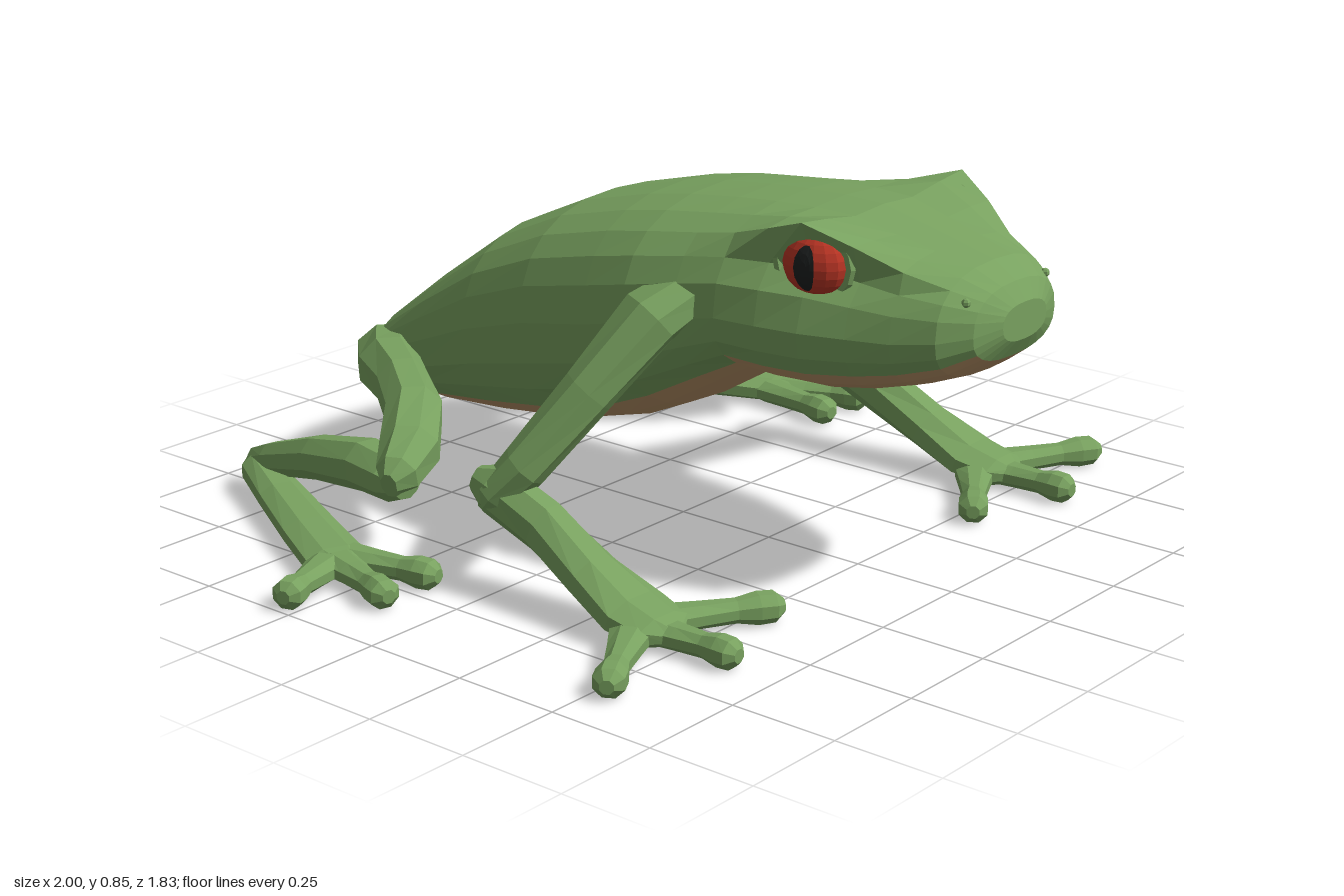
import * as THREE from 'three';

const paint = (name, color) => {
  const m = new THREE.MeshStandardMaterial({ color, flatShading: true });
  m.name = name;
  return m;
};

// Skins closed rings of points, columns from..to, with fan caps at both ends
function skin(rings, from = 0, to = rings[0].length) {
  const n = rings[0].length, pos = [], idx = [], last = rings.length - 1;
  rings.forEach(r => r.forEach(p => pos.push(p.x, p.y, p.z)));
  const centre = r => {
    const c = r.reduce((s, p) => s.add(p), new THREE.Vector3()).divideScalar(n);
    pos.push(c.x, c.y, c.z);
    return pos.length / 3 - 1;
  };
  const c0 = centre(rings[0]), c1 = centre(rings[last]);
  for (let k = from; k < to; k++) {
    const i = k % n, j = (k + 1) % n;
    for (let r = 0; r < last; r++) {
      const a = r * n, b = a + n;
      idx.push(a + i, a + j, b + i, a + j, b + j, b + i);
    }
    idx.push(c0, j, i, c1, last * n + i, last * n + j);
  }
  const g = new THREE.BufferGeometry();
  g.setAttribute('position', new THREE.Float32BufferAttribute(pos, 3));
  g.setIndex(idx);
  g.computeVertexNormals();
  return g;
}

// Limb through points [x, y, z, half width, half height]
function limb(points, sides = 8) {
  const c = points.map(p => new THREE.Vector3(p[0], p[1], p[2]));
  const up = new THREE.Vector3(0, 1, 0);
  return skin(points.map((p, i) => {
    const t = c[Math.min(i + 1, c.length - 1)].clone().sub(c[Math.max(i - 1, 0)]).normalize();
    const side = up.clone().cross(t).normalize(), top = t.clone().cross(side);
    return Array.from({ length: sides }, (_, k) => {
      const a = (k + 0.5) / sides * Math.PI * 2;
      return c[i].clone().addScaledVector(side, Math.cos(a) * p[3]).addScaledVector(top, Math.sin(a) * p[4]);
    });
  }));
}

// Toe with a webbed root and a rounded pad at the tip
function toe(x0, z0, x1, z1) {
  const steps = [[0, .05, .03], [.3, .038, .028], [.6, .028, .027], [.78, .036, .036], [.92, .036, .034], [1, .016, .016]];
  return limb(steps.map(([t, w, h]) => [x0 + (x1 - x0) * t, .04, z0 + (z1 - z0) * t, w, h]));
}

// Mirror image across x = 0 with the winding kept outward
function mirrored(geo) {
  const g = geo.clone().scale(-1, 1, 1), id = g.index.array;
  for (let i = 0; i < id.length; i += 3) [id[i], id[i + 1]] = [id[i + 1], id[i]];
  g.computeVertexNormals();
  return g;
}

export function createModel() {
  const green = paint('leaf green', 0x78a15f), brown = paint('belly brown', 0xba9468);
  const red = paint('eye red', 0xb83424), black = paint('pupil black', 0x1c1f1f);
  const model = new THREE.Group();
  model.name = 'frog';
  const add = (name, geo, mat) => {
    const m = new THREE.Mesh(geo, mat);
    m.name = name;
    model.add(m);
  };
  const pair = (name, geo, mat = green) => {
    add('left' + name, geo, mat);
    add('right' + name, mirrored(geo), mat);
  };

  // Body sections from rear to nose: z, top, bottom, half width, height of widest point, brow size
  const sections = [
    [-.85, .29, .24, .1, .265, 0], [-.83, .33, .21, .18, .27, 0], [-.75, .4, .185, .235, .3, 0],
    [-.6, .515, .175, .265, .36, 0], [-.4, .655, .19, .3, .44, 0], [-.2, .745, .215, .325, .5, 0],
    [0, .795, .27, .34, .54, 0], [.12, .815, .325, .35, .57, 0], [.25, .828, .405, .335, .6, 0],
    [.35, .835, .465, .325, .62, .1], [.45, .838, .455, .315, .62, .5], [.55, .835, .455, .3, .62, 1],
    [.65, .81, .47, .27, .62, .65], [.74, .788, .495, .24, .62, .2], [.83, .765, .53, .205, .63, 0],
    [.885, .73, .57, .15, .64, 0], [.91, .69, .61, .08, .65, 0]];
  const N = 24;
  const power = (v, e) => Math.sign(v) * Math.abs(v) ** e;
  // Brow ridge and eye socket: shift [out, up] by steps away from the top of the section
  const browShift = { 2: [.03, .032], 3: [.06, .07], 4: [-.035, 0], 5: [-.012, 0] };
  const rings = sections.map(([z, top, bottom, w, mid, brow]) => Array.from({ length: N }, (_, k) => {
    const a = k / N * Math.PI * 2, c = power(-Math.cos(a), .8);
    const [out, up] = browShift[Math.abs(k - N / 2)] || [0, 0];
    return new THREE.Vector3(w * power(Math.sin(a), .8) + Math.sign(N / 2 - k) * out * brow,
      mid + c * (c > 0 ? top - mid : mid - bottom) + up * brow, z);
  }));
  // Patches of the body: name, first and last ring, columns under the seam
  add('back', skin(rings, 4, N - 4), green);
  const under = (name, r0, r1, n, mat) => add(name, skin(rings.slice(r0, r1 + 1), N - n, N + n), mat);
  under('tail', 0, 1, 4, green);
  under('belly', 1, 9, 3, brown);
  under('throat', 9, 15, 4, brown);
  under('chin', 15, 16, 4, green);
  const flank = skin(rings.slice(1, 10), 3, 4);
  pair('Flank', flank);

  // Eyes, lids and nostrils
  const eyeAt = [.236, .757, .552];
  pair('Eye', new THREE.SphereGeometry(1, 16, 12).scale(.056, .07, .078).translate(...eyeAt), red);
  const pupil = new THREE.RingGeometry(.001, 1, 14, 3), pp = pupil.attributes.position;
  for (let i = 0; i < pp.count; i++) {
    const u = pp.getX(i) * .34, v = pp.getY(i) * .7;
    pp.setXYZ(i, Math.sqrt(1 - u * u - v * v) * 1.05, v, -u);
  }
  pupil.scale(.056, .07, .078).translate(.236, .757, .56).computeVertexNormals();
  pair('Pupil', pupil, black);
  pair('Eyelid', new THREE.TorusGeometry(.082, .011, 6, 16).rotateY(Math.PI / 2)
    .scale(1, .9, 1.05).rotateY(-.15).translate(.243, .757, .55));
  pair('Nostril', new THREE.SphereGeometry(.01, 6, 5).translate(.145, .71, .862));

  // Front legs
  pair('UpperArm', limb([[.25, .66, .25, .08, .05], [.35, .6, .2, .095, .062], [.47, .45, .13, .08, .055],
    [.575, .29, .04, .078, .05], [.612, .22, -.01, .06, .045], [.622, .19, -.015, .03, .03]]));
  pair('Forearm', limb([[.615, .25, -.065, .025, .03], [.605, .235, -.02, .05, .06], [.6, .18, .12, .055, .06],
    [.61, .11, .26, .068, .052], [.615, .06, .38, .09, .045], [.62, .045, .46, .08, .036], [.62, .04, .5, .03, .02]]));
  [[.57, .42, .35, .565], [.62, .44, .617, .66], [.67, .42, .902, .555]]
    .forEach(([a, b, c, d], i) => pair('FrontToe' + (i + 1), toe(a, b, c, d)));

  // Hind legs
  pair('Thigh', limb([[.08, .28, -.765, .07, .05], [.2, .285, -.745, .085, .075], [.3, .3, -.645, .075, .075],
    [.39, .305, -.51, .063, .07], [.475, .29, -.39, .068, .07], [.58, .25, -.3, .07, .07],
    [.66, .22, -.26, .05, .055], [.695, .21, -.25, .02, .03]]));
  pair('Shank', limb([[.66, .2, -.235, .03, .03], [.64, .205, -.28, .062, .055], [.61, .2, -.4, .064, .06],
    [.57, .16, -.6, .053, .052], [.53, .1, -.8, .04, .04], [.51, .07, -.88, .03, .035], [.505, .06, -.91, .012, .015]]));
  pair('HindFoot', limb([[.5, .06, -.912, .015, .02], [.525, .06, -.86, .045, .04], [.6, .05, -.7, .058, .036],
    [.7, .045, -.5, .068, .034], [.775, .04, -.34, .075, .032], [.8, .038, -.27, .04, .024]]));
  [[.745, -.33, .7, -.1], [.785, -.32, .85, -.1], [.81, -.33, .997, -.268]]
    .forEach(([a, b, c, d], i) => pair('HindToe' + (i + 1), toe(a, b, c, d)));
  return model;
}
